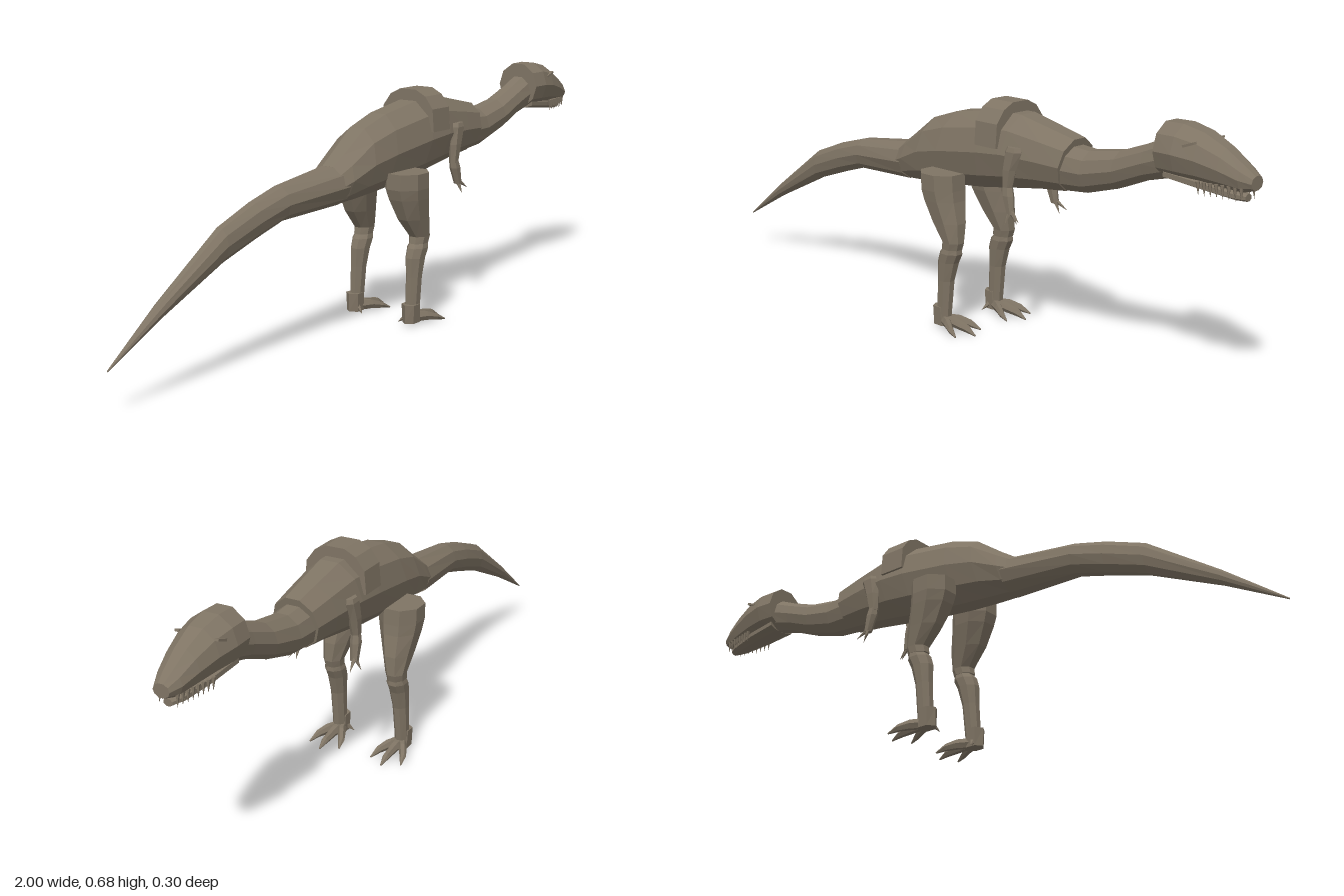
import * as THREE from 'three';

const skin = new THREE.MeshStandardMaterial({ color: 0x7f7464, flatShading: true });
skin.name = 'brown skin';

// Closed faceted loft. Rings are [x, y, z, r1, r2], listed in increasing order along the axis.
// axis 'x': r1 = half height, r2 = half width (z). axis 'y': r1 = half length (x), r2 = half width (z).
function loft(rings, n, axis, shear = 0) {
  const k = 1 / Math.cos(Math.PI / n);
  const pts = rings.map(([x, y, z, r1, r2]) => Array.from({ length: n }, (_, j) => {
    const t = Math.PI / 2 + (j + 0.5) * 2 * Math.PI / n;
    const c = Math.cos(t), s = Math.sin(t);
    return axis === 'x'
      ? [x + s * r1 * shear, y + s * r1 * k, z + c * r2 * k]
      : [x + c * r1 * k, y, z + s * r2 * k];
  }));
  const out = [], last = rings.length - 1;
  for (let j = 0; j < n; j++) {
    const m = (j + 1) % n;
    for (let i = 0; i < last; i++) {
      const a = pts[i][j], b = pts[i][m], c = pts[i + 1][j], d = pts[i + 1][m];
      out.push(...a, ...c, ...b, ...b, ...c, ...d);
    }
    out.push(...rings[0].slice(0, 3), ...pts[0][j], ...pts[0][m]);
    out.push(...rings[last].slice(0, 3), ...pts[last][m], ...pts[last][j]);
  }
  const g = new THREE.BufferGeometry();
  g.setAttribute('position', new THREE.Float32BufferAttribute(out, 3));
  g.computeVertexNormals();
  return g;
}

function add(parent, name, geometry) {
  const mesh = new THREE.Mesh(geometry, skin);
  mesh.name = name;
  parent.add(mesh);
  return mesh;
}

// Pointed cone from a base point to a tip
function spike(parent, name, from, to, radius) {
  const a = new THREE.Vector3(...from), b = new THREE.Vector3(...to);
  const dir = b.clone().sub(a);
  const mesh = add(parent, name, new THREE.ConeGeometry(radius, dir.length(), 5));
  mesh.position.copy(a).lerp(b, 0.5);
  mesh.quaternion.setFromUnitVectors(new THREE.Vector3(0, 1, 0), dir.normalize());
}

// Central rings given as [x, bottom, top, halfWidth]
const spine = rows => rows.map(([x, lo, hi, w]) => [x, (lo + hi) / 2, 0, (hi - lo) / 2, w]);

function makeLeg(s) {
  const leg = new THREE.Group();
  leg.name = s > 0 ? 'rightLeg' : 'leftLeg';
  add(leg, 'thigh', loft([
    [0.08, 0.235, s * 0.1, 0.03, 0.025],
    [0.085, 0.255, s * 0.1, 0.031, 0.027],
    [0.062, 0.31, s * 0.096, 0.052, 0.039],
    [0.042, 0.37, s * 0.092, 0.06, 0.053],
    [0.036, 0.4, s * 0.091, 0.063, 0.058],
    [0.035, 0.445, s * 0.092, 0.062, 0.058],
  ], 8, 'y'));
  add(leg, 'shank', loft([
    [0.05, 0.03, s * 0.102, 0.022, 0.018],
    [0.058, 0.14, s * 0.101, 0.024, 0.021],
    [0.066, 0.195, s * 0.1, 0.031, 0.025],
    [0.077, 0.222, s * 0.1, 0.033, 0.027],
    [0.082, 0.235, s * 0.1, 0.027, 0.024],
  ], 8, 'y'));
  add(leg, 'ankle', loft([
    [0.045, 0.008, s * 0.102, 0.026, 0.02],
    [0.042, 0.062, s * 0.102, 0.024, 0.022],
  ], 6, 'y'));
  // Three spread toes, the middle one longest
  for (const [tipX, spread] of [[0.145, -0.048], [0.173, 0], [0.145, 0.048]]) {
    const z = s * 0.1;
    add(leg, 'toe', loft([
      [0.045, 0.022, z, 0.014, 0.014],
      [0.085, 0.022, z + spread * 0.45, 0.013, 0.012],
      [tipX - 0.03, 0.015, z + spread * 0.8, 0.009, 0.009],
      [tipX, 0.003, z + spread, 0.002, 0.002],
    ], 6, 'x'));
  }
  spike(leg, 'heelClaw', [0.04, 0.025, s * 0.09], [0.03, 0.004, s * 0.065], 0.01);
  return leg;
}

function makeArm(s) {
  const arm = new THREE.Group();
  arm.name = s > 0 ? 'rightArm' : 'leftArm';
  add(arm, 'upperArm', loft([
    [0.275, 0.435, s * 0.082, 0.013, 0.011],
    [0.282, 0.49, s * 0.082, 0.02, 0.014],
    [0.294, 0.54, s * 0.081, 0.026, 0.014],
    [0.296, 0.552, s * 0.08, 0.02, 0.011],
  ], 6, 'y'));
  add(arm, 'forearm', loft([
    [0.292, 0.372, s * 0.086, 0.01, 0.01],
    [0.28, 0.42, s * 0.084, 0.016, 0.013],
    [0.276, 0.445, s * 0.082, 0.013, 0.011],
  ], 6, 'y'));
  for (const [x, y, z] of [[0.33, 0.355, 0.095], [0.312, 0.345, 0.083], [0.288, 0.345, 0.105]])
    spike(arm, 'fingerClaw', [0.29, 0.382, s * 0.086], [x, y, s * z], 0.008);
  return arm;
}

function makeHead() {
  const head = new THREE.Group();
  head.name = 'head';
  add(head, 'skull', loft(spine([
    [0.745, 0.545, 0.68, 0.066], [0.8, 0.545, 0.681, 0.069], [0.86, 0.545, 0.668, 0.06],
    [0.92, 0.543, 0.64, 0.048], [0.97, 0.542, 0.607, 0.036], [1, 0.55, 0.585, 0.022],
  ]), 10, 'x'));
  add(head, 'lowerJaw', loft(spine([
    [0.76, 0.54, 0.57, 0.045], [0.86, 0.529, 0.56, 0.04],
    [0.95, 0.52, 0.545, 0.026], [0.978, 0.52, 0.538, 0.012],
  ]), 8, 'x'));
  for (const s of [-1, 1]) {
    // Tooth row along the upper lip
    for (let i = 0; i < 8; i++) {
      const x = 0.865 + i * 0.0155, z = s * (0.046 - i * 0.003);
      spike(head, 'tooth', [x, 0.556, z], [x + 0.003, 0.522, z], 0.006);
    }
    const brow = add(head, 'brow', new THREE.BoxGeometry(0.035, 0.006, 0.012));
    brow.position.set(0.843, 0.642, s * 0.055);
    brow.rotation.z = 0.35;
  }
  return head;
}

export function createModel() {
  const model = new THREE.Group();
  model.name = 'dinosaur';
  add(model, 'tail', loft(spine([
    [-1, 0.108, 0.112, 0.002], [-0.83, 0.2, 0.24, 0.018], [-0.62, 0.298, 0.385, 0.03],
    [-0.5, 0.338, 0.43, 0.036], [-0.4, 0.368, 0.457, 0.042], [-0.18, 0.376, 0.484, 0.062],
  ]), 10, 'x'));
  add(model, 'torso', loft(spine([
    [-0.21, 0.376, 0.482, 0.056], [-0.17, 0.378, 0.51, 0.066], [-0.09, 0.383, 0.572, 0.077],
    [0, 0.39, 0.602, 0.083], [0.16, 0.408, 0.628, 0.087], [0.25, 0.423, 0.628, 0.085],
    [0.36, 0.44, 0.605, 0.074], [0.44, 0.448, 0.588, 0.065],
  ]), 10, 'x', 0.2));
  add(model, 'neck', loft(spine([
    [0.4, 0.447, 0.573, 0.058], [0.5, 0.456, 0.565, 0.053], [0.6, 0.485, 0.582, 0.048],
    [0.69, 0.522, 0.615, 0.045], [0.77, 0.543, 0.65, 0.045],
  ]), 10, 'x'));

  // Raised band over the shoulders
  const outline = [[-0.093, 0.54], [0.093, 0.54], [0.088, 0.605], [0.062, 0.64],
    [0.028, 0.657], [-0.028, 0.657], [-0.062, 0.64], [-0.088, 0.605]];
  const band = new THREE.ExtrudeGeometry(
    new THREE.Shape(outline.map(p => new THREE.Vector2(...p))), { depth: 0.08, bevelEnabled: false });
  band.rotateY(Math.PI / 2).translate(0.16, 0, 0);
  add(model, 'shoulderBand', band);

  model.add(makeHead());
  for (const s of [-1, 1]) model.add(makeLeg(s), makeArm(s));
  return model;
}
